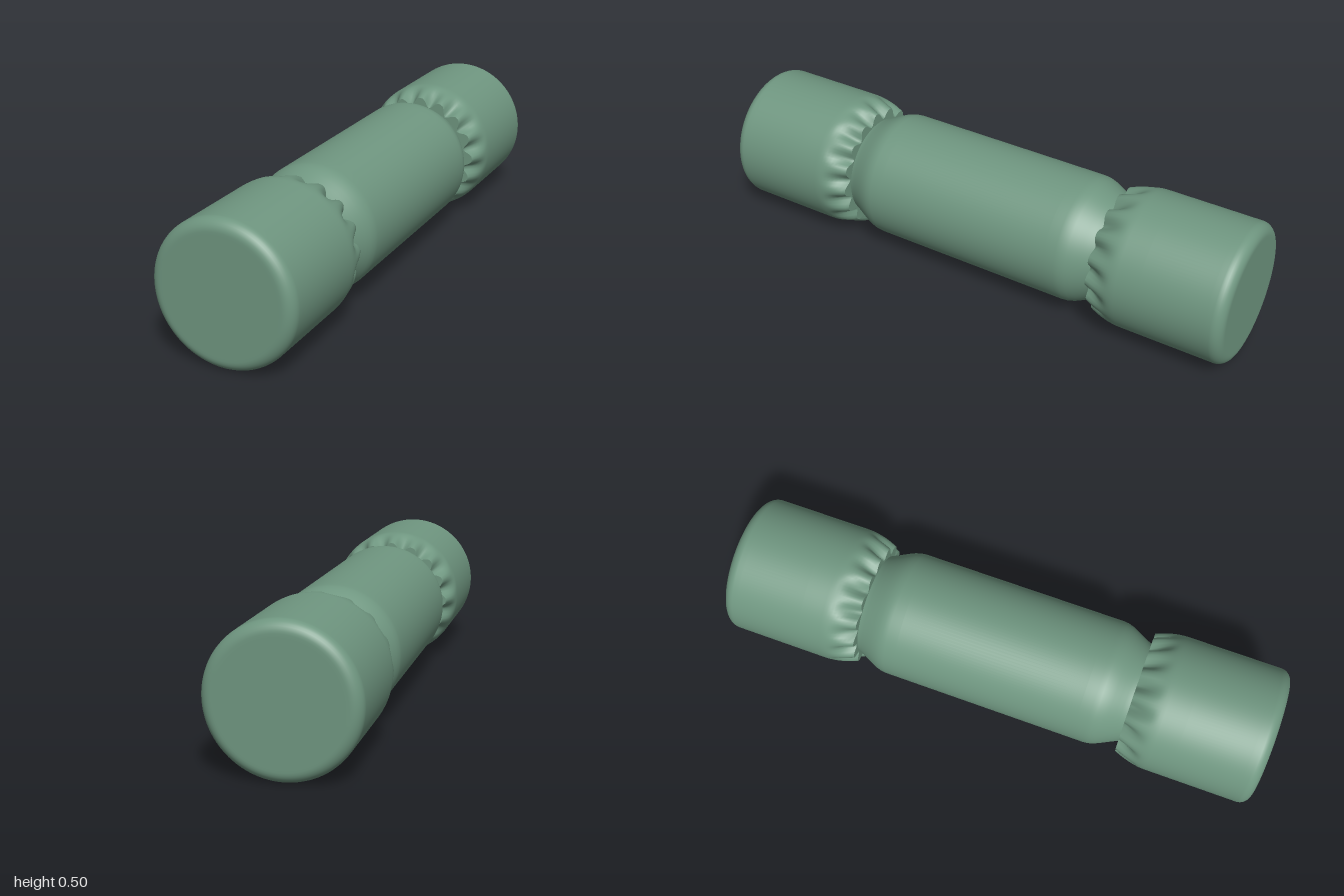
import * as THREE from 'three';
import { mergeVertices } from 'three/addons/utils/BufferGeometryUtils.js';

const R = 0.25, SEGMENTS = 128, CRIMPS = 16;
const material = new THREE.MeshStandardMaterial({ color: 0x6f9680, side: THREE.DoubleSide });

// Smooth lathe along +z from [radius, z] pairs, with an optional radius rule
function lathe(points, radiusRule) {
  let geo = new THREE.LatheGeometry(points.map(([r, z]) => new THREE.Vector2(r, z)), SEGMENTS);
  geo.rotateX(Math.PI / 2);
  const p = geo.attributes.position;
  if (radiusRule) {
    for (let i = 0; i < p.count; i++) {
      const x = p.getX(i), y = p.getY(i), r = Math.hypot(x, y);
      if (r < 1e-6) continue;
      const k = radiusRule(r, Math.atan2(y, x), p.getZ(i)) / r;
      p.setXY(i, x * k, y * k);
    }
  }
  geo.deleteAttribute('normal');
  geo.deleteAttribute('uv');
  geo = mergeVertices(geo, 1e-5);
  geo.computeVertexNormals();
  return geo;
}

// Dents fade out from the rim (z = 0.5) towards the plain part of the cap
function crimp(r, angle, z) {
  const fade = 1 - THREE.MathUtils.smoothstep(z, 0.5, 0.6);
  const dent = Math.pow(0.5 - 0.5 * Math.cos(CRIMPS * angle), 1.5);
  return r - 0.035 * fade * dent;
}

function capProfile() {
  const pts = [];
  // inward curve at the crimped rim
  for (let i = 0; i <= 10; i++) {
    const t = i / 10;
    pts.push([R - 0.027 * (1 - t) ** 2, 0.5 + 0.12 * t]);
  }
  pts.push([R, 0.7], [R, 0.94]);
  // rounded outer edge, then the flat end
  const f = 0.04;
  for (let i = 0; i <= 8; i++) {
    const a = (i / 8) * Math.PI / 2;
    pts.push([R - f + f * Math.cos(a), 1 - f + f * Math.sin(a)]);
  }
  pts.push([R - f - 0.01, 1], [0, 1]);
  return pts;
}

export function createModel() {
  const group = new THREE.Group();
  group.name = 'fuse';
  const add = (geo, name, parent) => {
    const mesh = new THREE.Mesh(geo, material);
    mesh.name = name;
    parent.add(mesh);
  };

  // Tube body with tapered, softly rounded shoulders
  const half = [[0.23, 0.34], [0.23, 0.38], [0.228, 0.40], [0.222, 0.42],
    [0.213, 0.44], [0.203, 0.46], [0.193, 0.48], [0.184, 0.5], [0.18, 0.52]];
  const body = [...half].reverse().map(([r, z]) => [r, -z]).concat(half);
  add(lathe(body), 'tubeBody', group);

  // Crimped end caps, one at each end
  const shell = lathe(capProfile(), crimp);
  const lip = lathe([[0.17, 0.5], [R - 0.027, 0.5]], (r, a, z) => r > 0.2 ? crimp(r, a, z) : r);
  for (const [name, turn] of [['frontCap', 0], ['backCap', Math.PI]]) {
    const cap = new THREE.Group();
    cap.name = name;
    cap.rotation.y = turn;
    add(shell, name + 'Shell', cap);
    add(lip, name + 'Lip', cap);
    group.add(cap);
  }

  for (const part of group.children) part.position.y = R;
  return group;
}
